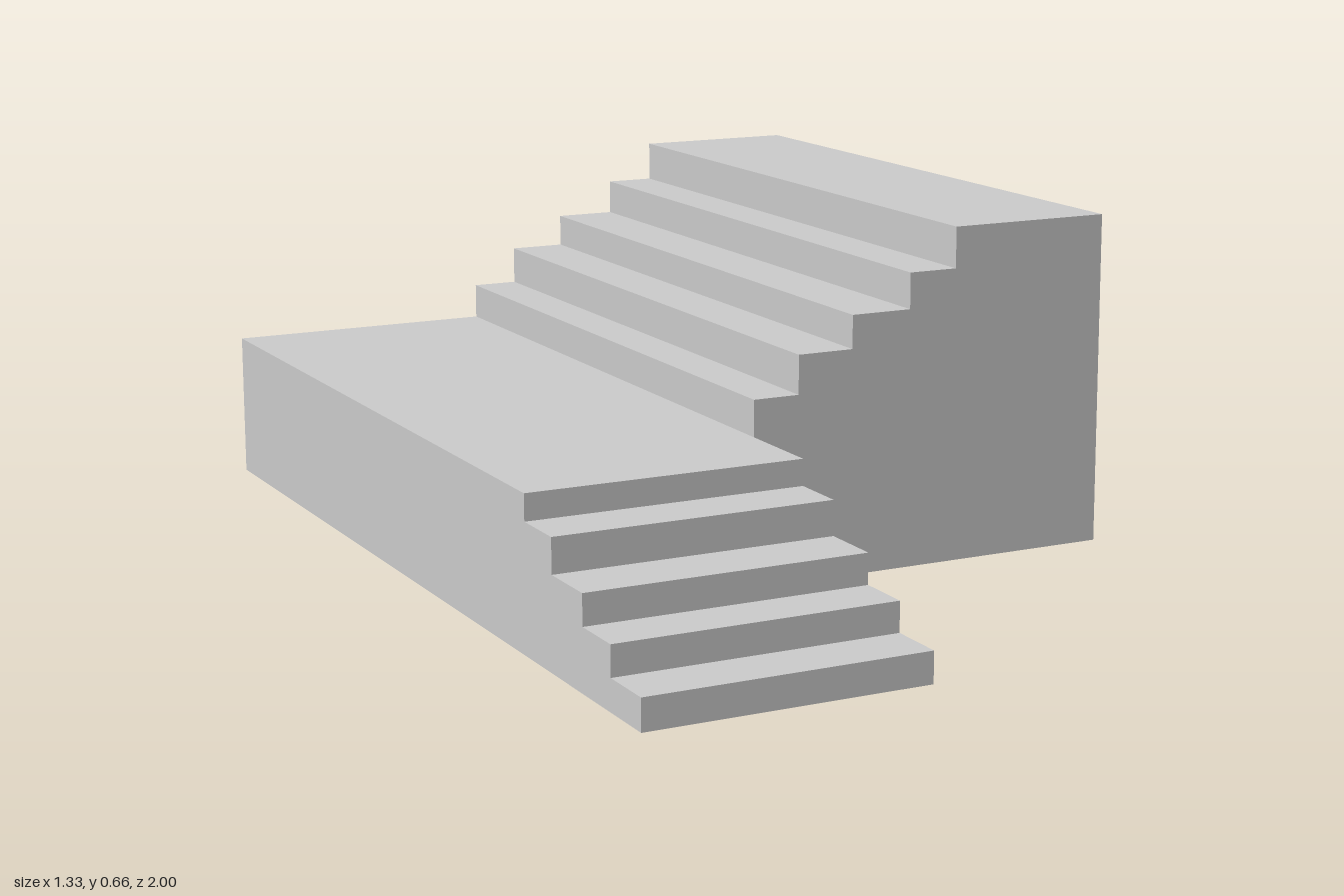
import * as THREE from 'three';

const material = new THREE.MeshStandardMaterial({ color: 0xcccccc, flatShading: true });

// Solid stair block: each step is [position of its riser, height of its tread];
// the last tread runs on to `end`.
function stairGeometry(steps, end, depth) {
  const shape = new THREE.Shape();
  shape.moveTo(steps[0][0], 0);
  steps.forEach(([riser, height], i) => {
    shape.lineTo(riser, height);
    shape.lineTo(i + 1 < steps.length ? steps[i + 1][0] : end, height);
  });
  shape.lineTo(end, 0);
  shape.closePath();
  return new THREE.ExtrudeGeometry(shape, { depth, bevelEnabled: false });
}

function addPart(group, name, geometry) {
  const mesh = new THREE.Mesh(geometry, material);
  mesh.name = name;
  group.add(mesh);
}

export function createModel() {
  const group = new THREE.Group();
  group.name = 'steppedPlatform';

  const left = 0.663, inner = -0.11, front = 0.345, landing = 0.295;

  // Landing with the wide flight rising sideways to the upper platform
  const upper = stairGeometry(
    [[-left, landing], [inner, 0.367], [-0.015, 0.444], [0.101, 0.51], [0.227, 0.581], [0.328, 0.662]],
    left, front + 1);
  upper.translate(0, 0, -1);
  addPart(group, 'landingAndUpperFlight', upper);

  // Narrow flight climbing from the front to the landing
  const lower = stairGeometry(
    [[1, 0.06], [0.885, 0.118], [0.775, 0.177], [0.65, 0.244], [0.536, landing]],
    front, inner + left);
  lower.rotateY(-Math.PI / 2).translate(inner, 0, 0);
  addPart(group, 'lowerFlight', lower);

  return group;
}
